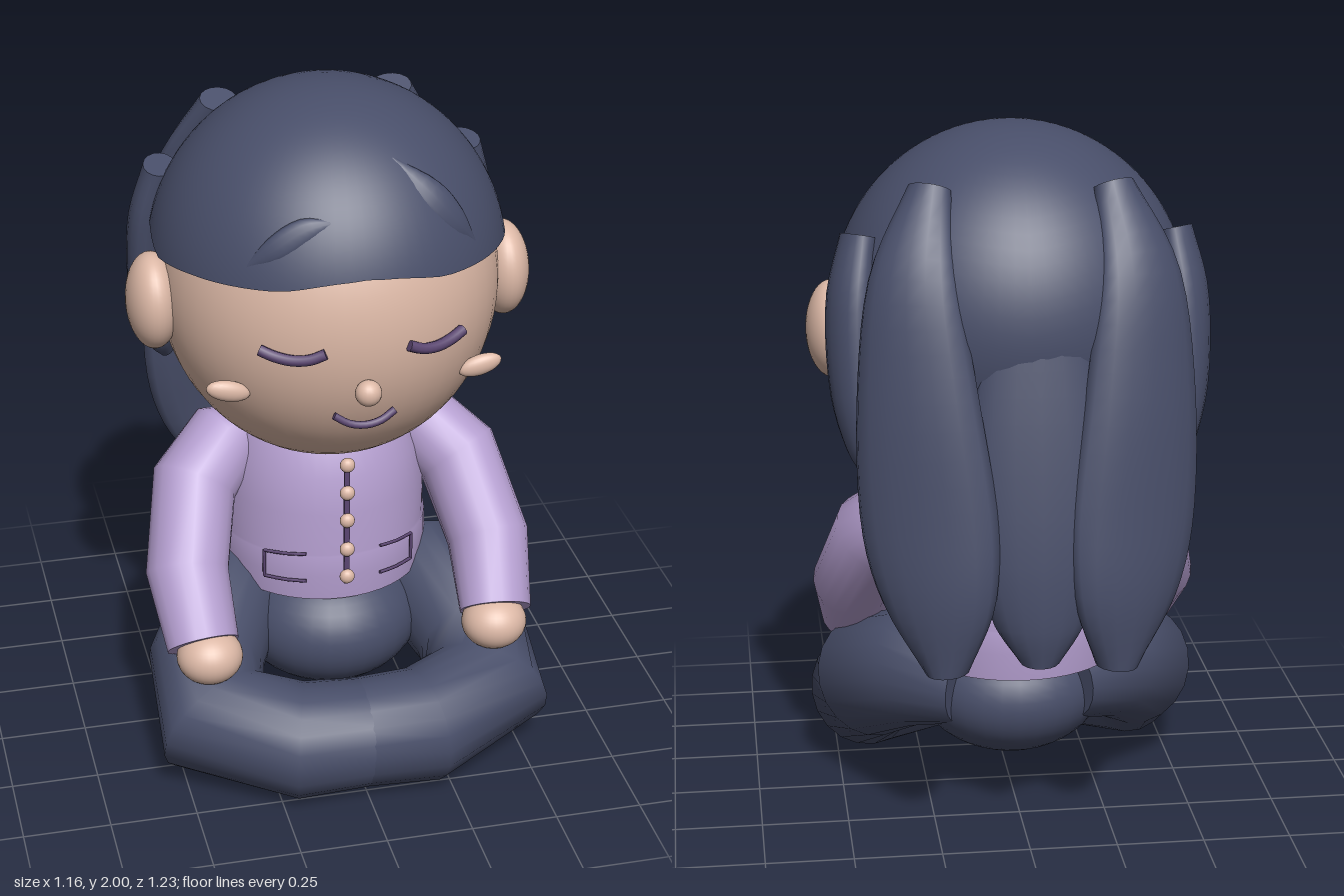
import * as THREE from 'three';

const V = (x, y, z) => new THREE.Vector3(x, y, z);
const TAU = Math.PI * 2;

// Capped sweep of an elliptical section; rows are [x, y, z, half width, half depth].
function sweep(rows, side, steps = rows.length - 1, sides = 16) {
  const path = new THREE.CatmullRomCurve3(rows.map(r => V(r[0], r[1], r[2])));
  const size = new THREE.CatmullRomCurve3(rows.map(r => V(r[3], r[4], 0)), false, 'catmullrom');
  const pos = [], idx = [];
  const rings = [];
  for (let i = 0; i <= steps; i++) {
    const t = i / steps, c = path.getPoint(t), s = size.getPoint(t);
    const T = path.getPoint(Math.min(1, t + 0.02)).sub(path.getPoint(Math.max(0, t - 0.02))).normalize();
    const u = side.clone().addScaledVector(T, -side.dot(T)).normalize();
    const n = T.clone().cross(u);
    const ring = [];
    for (let j = 0; j < sides; j++) {
      const a = j / sides * TAU;
      ring.push(c.clone().addScaledVector(u, Math.cos(a) * s.x).addScaledVector(n, Math.sin(a) * s.y));
    }
    rings.push({ c, ring });
    ring.forEach(p => pos.push(p.x, p.y, p.z));
  }
  for (let i = 0; i < steps; i++) for (let j = 0; j < sides; j++) {
    const k = (j + 1) % sides, a = i * sides + j, b = i * sides + k;
    idx.push(a, b, b + sides, a, b + sides, a + sides);
  }
  for (const end of [0, steps]) {
    const { c, ring } = rings[end], base = pos.length / 3;
    [c, ...ring].forEach(p => pos.push(p.x, p.y, p.z));
    for (let j = 0; j < sides; j++) {
      const a = base + 1 + j, b = base + 1 + (j + 1) % sides;
      end ? idx.push(base, a, b) : idx.push(base, b, a);
    }
  }
  const g = new THREE.BufferGeometry();
  g.setAttribute('position', new THREE.Float32BufferAttribute(pos, 3));
  g.setIndex(idx);
  g.computeVertexNormals();
  return g;
}

// Hair cap: ellipsoid whose lower edge follows a hairline (degrees from the front, height).
const CAP = { y: 1.48, z: -0.015, r: 0.507, ry: 0.52 };
const HAIRLINE = [[0, 1.62], [12, 1.612], [27, 1.588], [60, 1.575], [80, 1.56], [97, 1.6], [108, 1.57], [125, 1.3], [180, 1.2]];
function hairlineAt(deg) {
  const i = Math.max(1, HAIRLINE.findIndex(h => h[0] >= deg - 1e-6));
  const [a, b] = [HAIRLINE[i - 1], HAIRLINE[i]];
  return THREE.MathUtils.mapLinear(deg, a[0], b[0], a[1], b[1]);
}
function capGeometry() {
  const g = new THREE.SphereGeometry(1, 72, 24, 0, TAU, 0, 2);
  const { position: p, normal: n, uv } = g.attributes;
  for (let i = 0; i < p.count; i++) {
    const a = uv.getX(i) * TAU - Math.PI / 2;
    const deg = Math.min(180, Math.acos(THREE.MathUtils.clamp(Math.cos(a), -1, 1)) * 180 / Math.PI);
    const theta = (1 - uv.getY(i)) * Math.acos((hairlineAt(deg) - CAP.y) / CAP.ry);
    const d = V(Math.sin(a) * Math.sin(theta), Math.cos(theta), Math.cos(a) * Math.sin(theta));
    p.setXYZ(i, d.x * CAP.r, CAP.y + d.y * CAP.ry, CAP.z + d.z * CAP.r);
    n.setXYZ(i, d.x, d.y, d.z);
  }
  return g;
}
const capZ = (x, y) => CAP.z + CAP.r * Math.sqrt(1 - (x / CAP.r) ** 2 - ((y - CAP.y) / CAP.ry) ** 2);

export function createModel() {
  const group = new THREE.Group();
  const material = (name, color, side = THREE.FrontSide) => {
    const m = new THREE.MeshStandardMaterial({ color, side });
    m.name = name;
    return m;
  };
  const skin = material('skin', 0xdcb8a6);
  const navy = material('navy', 0x484e69, THREE.DoubleSide);
  const lavender = material('lavender', 0xb59fd0, THREE.DoubleSide);
  const plum = material('plum', 0x5a4570);

  const add = (name, geometry, mat) => {
    const mesh = new THREE.Mesh(geometry, mat);
    mesh.name = name;
    group.add(mesh);
    return mesh;
  };
  const ball = (name, mat, [x, y, z], [rx, ry, rz], seg = 32) => {
    const mesh = add(name, new THREE.SphereGeometry(1, seg, seg * 0.75), mat);
    mesh.position.set(x, y, z);
    mesh.scale.set(rx, ry, rz);
    return mesh;
  };
  const up = V(0, 1, 0);

  // Head and face
  ball('head', skin, [0, 1.43, 0], [0.482, 0.52, 0.482], 48);
  ball('nose', skin, [0, 1.293, 0.488], [0.037, 0.037, 0.034], 20);
  add('mouth', sweep([[-0.085, 1.212, 0.445, 0.011, 0.011], [-0.045, 1.188, 0.452, 0.011, 0.011],
    [0, 1.18, 0.455, 0.011, 0.011], [0.045, 1.188, 0.452, 0.011, 0.011], [0.085, 1.212, 0.445, 0.011, 0.011]], up, 12, 8), plum);

  // Hair cap and low fringe locks
  add('hairCap', capGeometry(), navy);
  const lock = (pts, side) => add('fringeLock', sweep(pts.map(([x, y, w]) =>
    [x, y, capZ(x, y) - 0.008, w, 0.004 + w * 0.3]), side, 12, 12), navy);
  lock([[0.11, 1.88, 0.005], [0.2, 1.79, 0.045], [0.27, 1.71, 0.04], [0.33, 1.64, 0.005]], V(0.7, 0.7, -0.5));
  lock([[-0.07, 1.76, 0.005], [-0.15, 1.74, 0.035], [-0.23, 1.69, 0.035], [-0.31, 1.63, 0.005]], V(-0.4, 0.8, -0.45));

  // Long strand down the middle of the back
  add('backStrand', sweep([[-0.02, 1.55, -0.45, 0.14, 0.05], [-0.02, 1.2, -0.495, 0.19, 0.07],
    [-0.02, 0.88, -0.535, 0.175, 0.07], [-0.02, 0.7, -0.54, 0.125, 0.068], [-0.02, 0.59, -0.535, 0.055, 0.055]], V(1, 0, 0), 20), navy);

  // Jacket body, open at the hem, with a slightly wider lower panel
  const profile = [[0.305, 0.48], [0.312, 0.56], [0.311, 0.625], [0.305, 0.627], [0.306, 0.76], [0.287, 0.87], [0.258, 0.95], [0.225, 1.01]];
  const jacket = add('jacket', new THREE.LatheGeometry(profile.map(p => new THREE.Vector2(...p)), 48), lavender);
  jacket.position.z = -0.1;

  // Front fastening
  const placket = add('placket', new THREE.BoxGeometry(0.016, 0.38, 0.009), plum);
  placket.position.set(0, 0.745, 0.243);
  for (const y of [0.945, 0.855, 0.765, 0.67, 0.58]) ball('button', skin, [0, y, 0.25], [0.022, 0.022, 0.018], 16);

  ball('hips', navy, [0, 0.33, -0.01], [0.28, 0.205, 0.28]);

  // Mirrored parts
  for (const s of [1, -1]) {
    const m = rows => rows.map(([x, ...rest]) => [s * x, ...rest]);
    ball('ear', skin, [s * 0.505, 1.41, 0.02], [0.075, 0.14, 0.118]);
    ball('cheek', skin, [s * 0.355, 1.265, 0.337], [0.063, 0.03, 0.022], 20).rotation.z = s * 0.25;
    add('closedEye', sweep(m([[0.115, 1.416, 0.475, 0.016, 0.016], [0.155, 1.4, 0.468, 0.016, 0.016],
      [0.2, 1.395, 0.452, 0.016, 0.016], [0.245, 1.402, 0.43, 0.016, 0.016], [0.282, 1.416, 0.41, 0.016, 0.016]]), up, 12, 8), plum);

    add('longStrand', sweep(m([[0.25, 1.87, -0.28, 0.06, 0.045], [0.305, 1.65, -0.39, 0.125, 0.06], [0.305, 1.35, -0.455, 0.17, 0.068],
      [0.28, 1.0, -0.505, 0.195, 0.068], [0.255, 0.77, -0.535, 0.16, 0.065], [0.235, 0.57, -0.535, 0.06, 0.055]]), V(0.93, 0, s * 0.37), 24), navy);
    add('sideStrand', sweep(m([[0.44, 1.725, -0.19, 0.06, 0.045], [0.47, 1.55, -0.235, 0.085, 0.055],
      [0.465, 1.3, -0.285, 0.085, 0.055], [0.435, 1.15, -0.32, 0.065, 0.045], [0.41, 1.07, -0.345, 0.025, 0.02]]), V(s * 0.45, 0, 0.9), 18), navy);

    // Sleeve and hand
    add('sleeve', sweep(m([[0.23, 0.91, -0.1, 0.09, 0.08], [0.29, 0.89, -0.08, 0.13, 0.12], [0.395, 0.8, -0.01, 0.13, 0.125],
      [0.45, 0.6, 0.15, 0.125, 0.12], [0.435, 0.44, 0.3, 0.095, 0.105]]), V(0, 0.7, 0.7), 4, 20), lavender);
    ball('hand', skin, [s * 0.422, 0.42, 0.33], [0.095, 0.08, 0.09]);

    // Crossed leg: thigh outwards, knee, shin back to the middle
    add('leg', sweep(m([[0.14, 0.38, -0.14, 0.13, 0.13], [0.29, 0.39, -0.03, 0.18, 0.165], [0.4, 0.29, 0.15, 0.185, 0.17],
      [0.408, 0.19, 0.31, 0.18, 0.19], [0.18, 0.17, 0.445, 0.168, 0.17], [-0.06, 0.17, 0.445, 0.155, 0.158]]), up, 5, 20), navy);

    // Pocket outline on the jacket
    const onJacket = (x, y) => [x, y, -0.1 + Math.sqrt(0.321 ** 2 - x ** 2), 0.005, 0.005];
    const corners = [[0.11, 0.64], [0.22, 0.63], [0.22, 0.545], [0.11, 0.55]];
    for (let i = 0; i < 3; i++) {
      const [a, b] = [corners[i], corners[i + 1]];
      add('pocketSeam', sweep(m([onJacket(...a), onJacket((a[0] + b[0]) / 2, (a[1] + b[1]) / 2), onJacket(...b)]), V(0, 0, 1), 4, 6), plum);
    }
  }
  return group;
}
